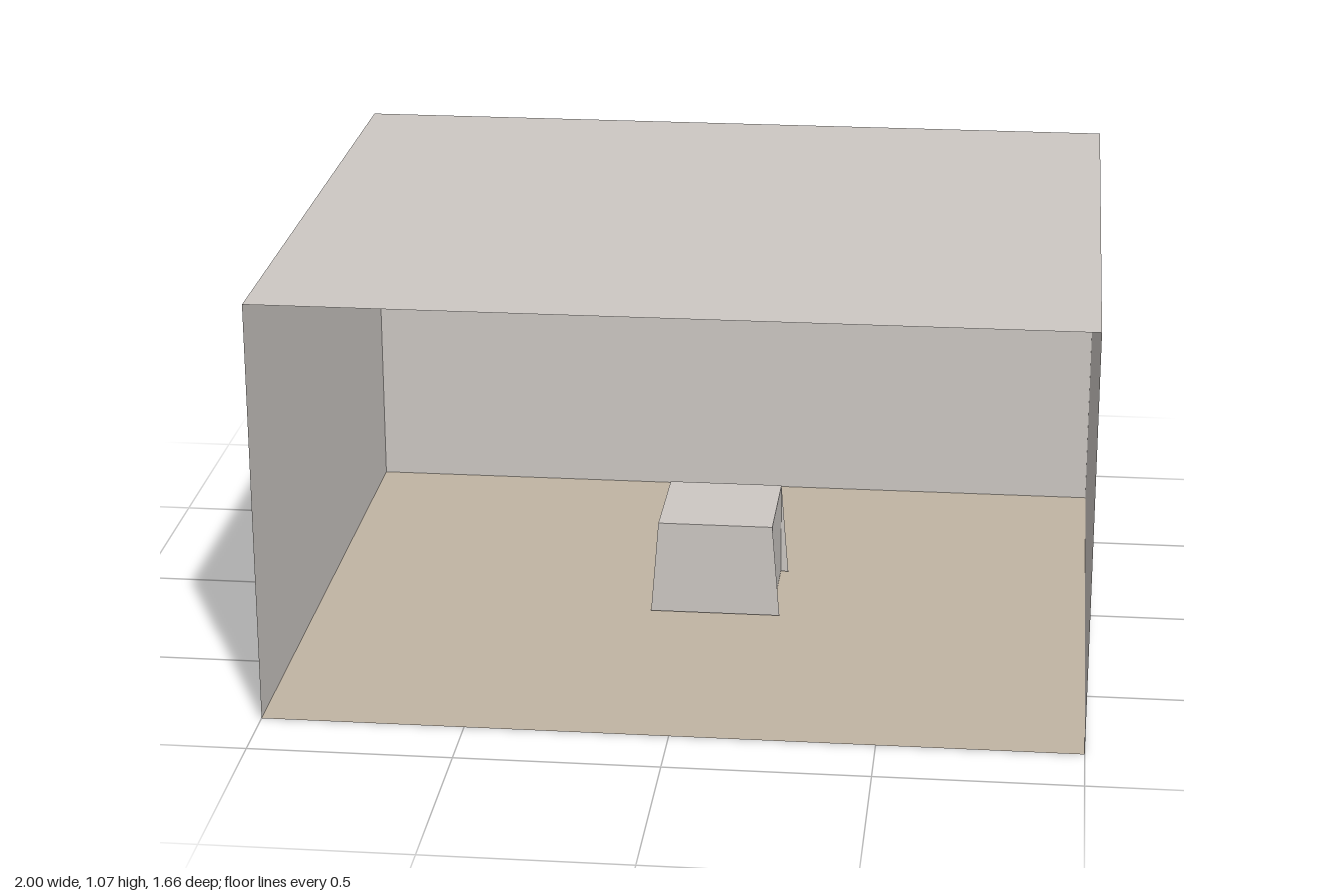
import * as THREE from 'three';

const W = 2, H = 1.066, D = 1.66;

export function createModel() {
  const group = new THREE.Group();
  const plaster = new THREE.MeshStandardMaterial({ color: 0xcdc8c4, side: THREE.DoubleSide });
  plaster.name = 'warm grey plaster';
  const sand = new THREE.MeshStandardMaterial({ color: 0xc0b4a3, side: THREE.DoubleSide });
  sand.name = 'sand floor';

  const add = (parent, name, geometry, material, position, rotation = [0, 0, 0]) => {
    const mesh = new THREE.Mesh(geometry, material);
    mesh.name = name;
    mesh.position.set(...position);
    mesh.rotation.set(...rotation);
    parent.add(mesh);
  };
  const plane = (w, h) => new THREE.PlaneGeometry(w, h);
  const q = Math.PI / 2;

  // Thin room shell, open at the front
  add(group, 'floor', plane(W, D), sand, [0, 0, 0], [-q, 0, 0]);
  add(group, 'ceiling', plane(W, D), plaster, [0, H, 0], [-q, 0, 0]);
  add(group, 'backWall', plane(W, H), plaster, [0, H / 2, -D / 2], [0, Math.PI, 0]);
  add(group, 'leftWall', plane(D, H), plaster, [W / 2, H / 2, 0], [0, q, 0]);
  add(group, 'rightWall', plane(D, H), plaster, [-W / 2, H / 2, 0], [0, -q, 0]);

  // Small table: upright sides, with flared panels at front and back
  const table = new THREE.Group();
  table.name = 'table';
  table.position.set(0.04, 0.003, -0.06);
  group.add(table);
  const top = 0.148, foot = 0.168, h = 0.247;
  const panel = new THREE.ShapeGeometry(new THREE.Shape([
    new THREE.Vector2(-foot, 0), new THREE.Vector2(foot, 0),
    new THREE.Vector2(top, h), new THREE.Vector2(-top, h),
  ]));
  add(table, 'tableTop', plane(top * 2, top * 2), plaster, [0, h, 0], [-q, 0, 0]);
  for (const s of [-1, 1]) {
    add(table, s > 0 ? 'frontPanel' : 'backPanel', panel, plaster, [0, 0, s * top], [0, s > 0 ? 0 : Math.PI, 0]);
    add(table, s > 0 ? 'leftPanel' : 'rightPanel', plane(top * 2, h), plaster, [s * top, h / 2, 0], [0, s * q, 0]);
  }
  return group;
}
